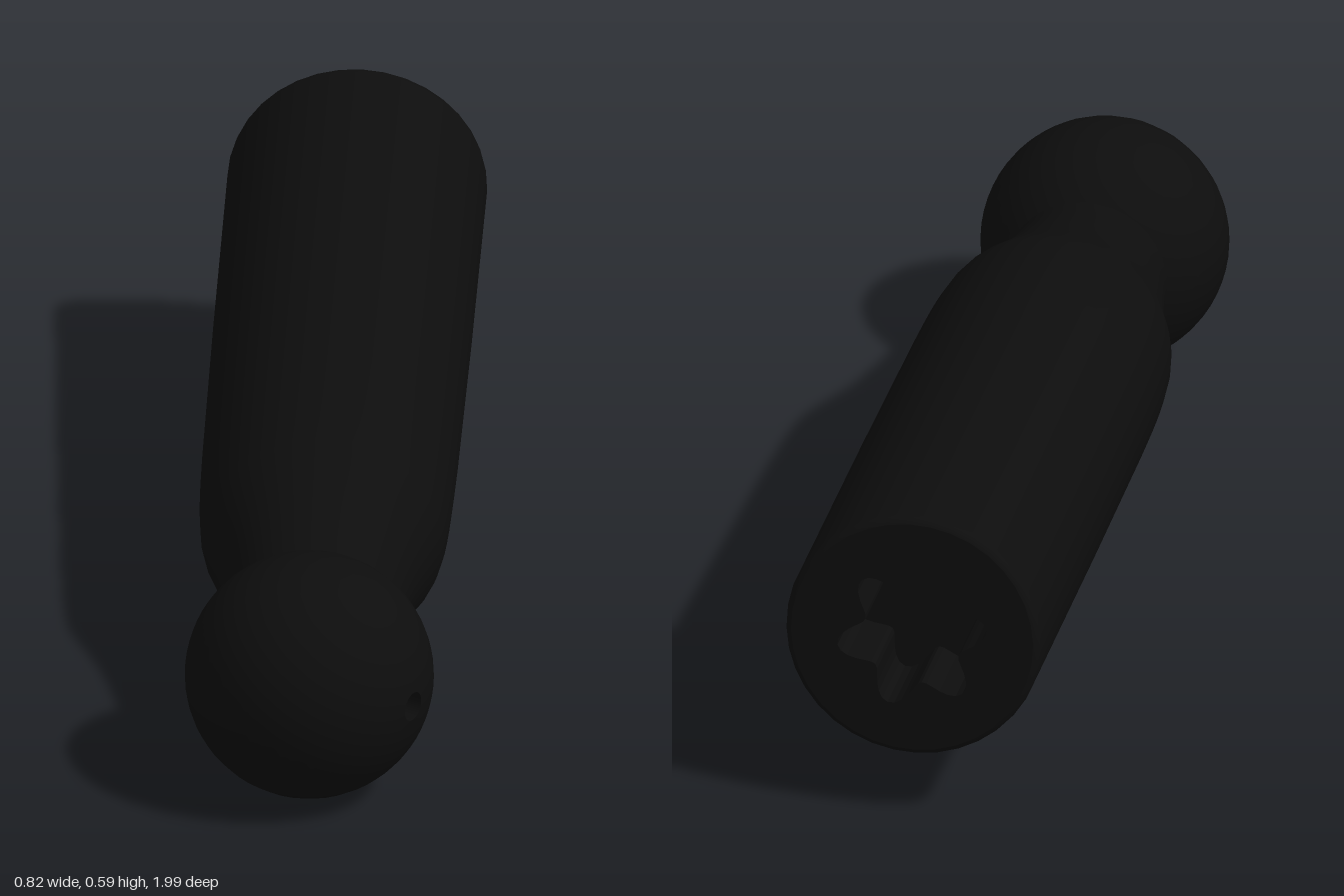
import * as THREE from 'three';

const SEG = 36;
const v2 = (x, y) => new THREE.Vector2(x, y);

// Closed ring of points, radius given by a rule of the angle
function ringPoints(count, radius) {
  return Array.from({ length: count }, (_, i) => {
    const a = (i / count) * Math.PI * 2;
    return v2(Math.cos(a) * radius(a), Math.sin(a) * radius(a));
  });
}

export function createModel() {
  const black = new THREE.MeshStandardMaterial({ color: 0x0d0d0d });
  black.name = 'matte black';
  const model = new THREE.Group();
  model.name = 'ballEndedRod';
  const up = new THREE.Vector3(0, 1, 0);
  const ballCentre = new THREE.Vector3(-0.19, 0.225, 0.775);
  const endCentre = new THREE.Vector3(0.18, 0.36, -0.945);

  const add = (parent, name, geometry, y = 0) => {
    const mesh = new THREE.Mesh(geometry, black);
    mesh.name = name;
    mesh.position.y = y;
    parent.add(mesh);
  };
  const pivot = (name, direction) => {
    const group = new THREE.Group();
    group.name = name;
    group.position.copy(ballCentre);
    group.quaternion.setFromUnitVectors(up, direction.normalize());
    model.add(group);
    return group;
  };

  // Ball, turned about the axis of its small drilled hole
  const R = 0.225, holeR = 0.027;
  const ball = pivot('ball', new THREE.Vector3(0.165, -0.005, 0.15));
  const rim = Math.asin(holeR / R), rimY = Math.cos(rim) * R;
  const arc = [];
  for (let i = 0; i <= 28; i++) {
    const a = Math.PI - (i / 28) * (Math.PI - rim);
    arc.push(v2(Math.sin(a) * R, Math.cos(a) * R));
  }
  add(ball, 'ballSurface', new THREE.LatheGeometry(arc, SEG));
  add(ball, 'holeWall', new THREE.LatheGeometry([v2(holeR, rimY), v2(holeR, rimY - 0.08)], SEG));
  add(ball, 'holeFloor', new THREE.CircleGeometry(holeR, SEG).rotateX(-Math.PI / 2), rimY - 0.08);

  // Shaft: narrow neck flaring into a long, barely tapered grip
  const axis = endCentre.clone().sub(ballCentre);
  const L = axis.length();
  const shaft = pivot('shaft', axis);
  const flare = new THREE.SplineCurve([
    v2(0.149, 0.14), v2(0.15, 0.19), v2(0.16, 0.255), v2(0.173, 0.32), v2(0.188, 0.376),
    v2(0.207, 0.435), v2(0.221, 0.49), v2(0.228, 0.6), v2(0.231, 0.75),
  ]).getPoints(24);
  const profile = [
    ...flare, v2(0.234, 1.2), v2(0.235, L - 0.02),
    v2(0.233, L - 0.009), v2(0.229, L - 0.003), v2(0.223, L),
  ];
  add(shaft, 'neckAndGrip', new THREE.LatheGeometry(profile, SEG));

  // End face with a six-lobed blind socket
  const depth = 0.16;
  const star = ringPoints(72, a => 0.115 + 0.025 * Math.cos(6 * a));
  const face = new THREE.Shape(ringPoints(SEG, () => 0.223));
  face.holes.push(new THREE.Path(star));
  const faceGeometry = new THREE.ExtrudeGeometry(face, { depth, bevelEnabled: false });
  add(shaft, 'endFaceAndSocketWall', faceGeometry.rotateX(-Math.PI / 2), L - depth);
  const floor = new THREE.ShapeGeometry(new THREE.Shape(star));
  add(shaft, 'socketFloor', floor.rotateX(-Math.PI / 2), L - depth);

  return model;
}
